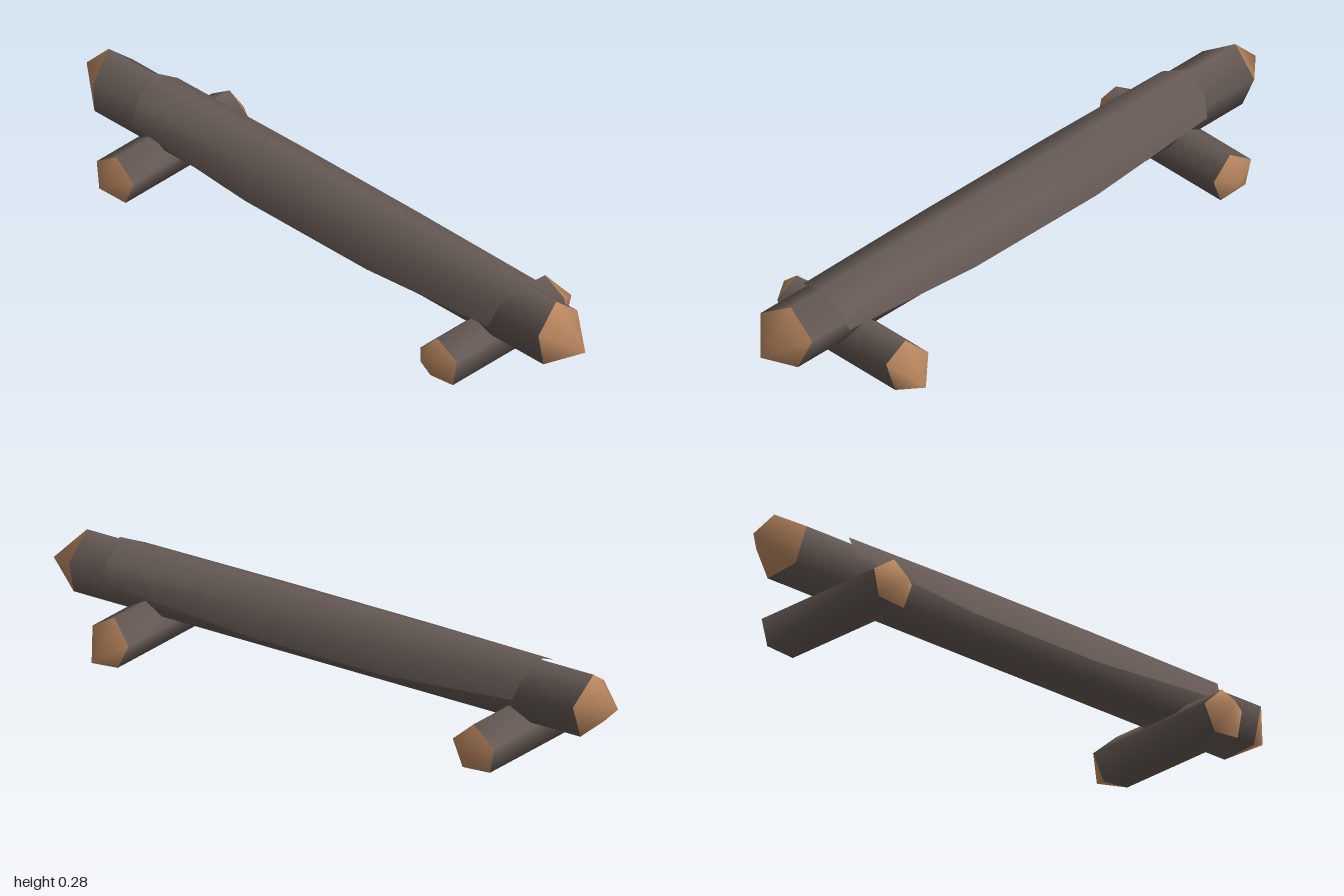
import * as THREE from 'three';

const bark = new THREE.MeshStandardMaterial({ color: 0x665a55 });
bark.name = 'bark';
const wood = new THREE.MeshStandardMaterial({ color: 0xbb8860 });
wood.name = 'cut wood';

function makeMesh(name, points, index, material) {
  const geo = new THREE.BufferGeometry();
  geo.setAttribute('position', new THREE.Float32BufferAttribute(points.flat(), 3));
  geo.setIndex(index);
  geo.computeVertexNormals();
  const mesh = new THREE.Mesh(geo, material);
  mesh.name = name;
  return mesh;
}

// Smooth skin between consecutive cross-sections
function loft(name, rows, closed, material) {
  const n = rows[0].length;
  const index = [];
  for (let r = 0; r < rows.length - 1; r++) {
    for (let i = 0; i < (closed ? n : n - 1); i++) {
      const j = (i + 1) % n;
      const a = r * n + i, b = r * n + j, c = a + n, d = b + n;
      index.push(a, b, c, b, d, c);
    }
  }
  return makeMesh(name, rows.flat(), index, material);
}

// Pointed end of a log
function tip(name, ring, apex, flip) {
  const n = ring.length;
  const index = [];
  for (let i = 0; i < n; i++) {
    const j = (i + 1) % n;
    index.push(...(flip ? [j, i, n] : [i, j, n]));
  }
  return makeMesh(name, [...ring, apex], index, wood);
}

function log(name, startRing, endRing, startApex, endApex) {
  const group = new THREE.Group();
  group.name = name;
  group.add(
    loft(name + 'Bark', [startRing, endRing], true, bark),
    tip(name + 'StartTip', startRing, startApex, true),
    tip(name + 'EndTip', endRing, endApex, false)
  );
  return group;
}

export function createModel() {
  const model = new THREE.Group();
  model.name = 'logBench';

  // Long seat log, section as [z, y]
  const seat = [[0.007, 0.283], [0.105, 0.224], [0.08, 0.11], [-0.037, 0.101], [-0.08, 0.208]];
  const seatRing = (xs) => seat.map(([z, y], i) => [xs[i], y, z]);
  model.add(log('seatLog',
    seatRing([-0.915, -0.88, -0.9, -0.9, -0.905]),
    seatRing([0.88, 0.905, 0.9, 0.895, 0.88]),
    [-1, 0.195, 0.01], [1, 0.165, 0.01]));

  // Cross logs, section as [x, y]
  const feet = [
    { name: 'rightFootLog',
      section: [[-0.66, 0.145], [-0.738, 0.092], [-0.72, 0.01], [-0.622, 0.003], [-0.59, 0.085]],
      back: [-0.228, -0.235, -0.23, -0.228, -0.232], backApex: [-0.65, 0.07, -0.275],
      front: 0.236, frontApex: [-0.665, 0.065, 0.3] },
    { name: 'leftFootLog',
      section: [[0.628, 0.145], [0.56, 0.08], [0.6, 0.003], [0.69, 0.012], [0.706, 0.1]],
      back: [-0.205, -0.23, -0.228, -0.226, -0.205], backApex: [0.64, 0.033, -0.3],
      front: 0.236, frontApex: [0.62, 0.09, 0.296] },
  ];
  for (const f of feet) {
    model.add(log(f.name,
      f.section.map(([x, y], i) => [x, y, f.back[i]]),
      f.section.map(([x, y]) => [x, y, f.front]),
      f.backApex, f.frontApex));
  }

  // Loose outer bark draped over the seat, open underneath and at the ends
  const sheetEnd = (xs) => [
    [xs[0], 0.185, -0.095], [xs[1], 0.24, -0.072], [xs[2], 0.288, 0.007],
    [xs[3], 0.246, 0.098], [xs[4], 0.18, 0.128],
  ];
  const sheetMid = (x) => [
    [x, 0.15, -0.101], [x, 0.24, -0.078], [x, 0.288, 0.007],
    [x, 0.246, 0.105], [x, 0.143, 0.131],
  ];
  model.add(loft('barkSheet', [
    sheetEnd([-0.7, -0.715, -0.735, -0.708, -0.705]),
    sheetMid(-0.25),
    sheetMid(0.24),
    sheetEnd([0.745, 0.752, 0.765, 0.74, 0.725]),
  ], false, bark));

  return model;
}
